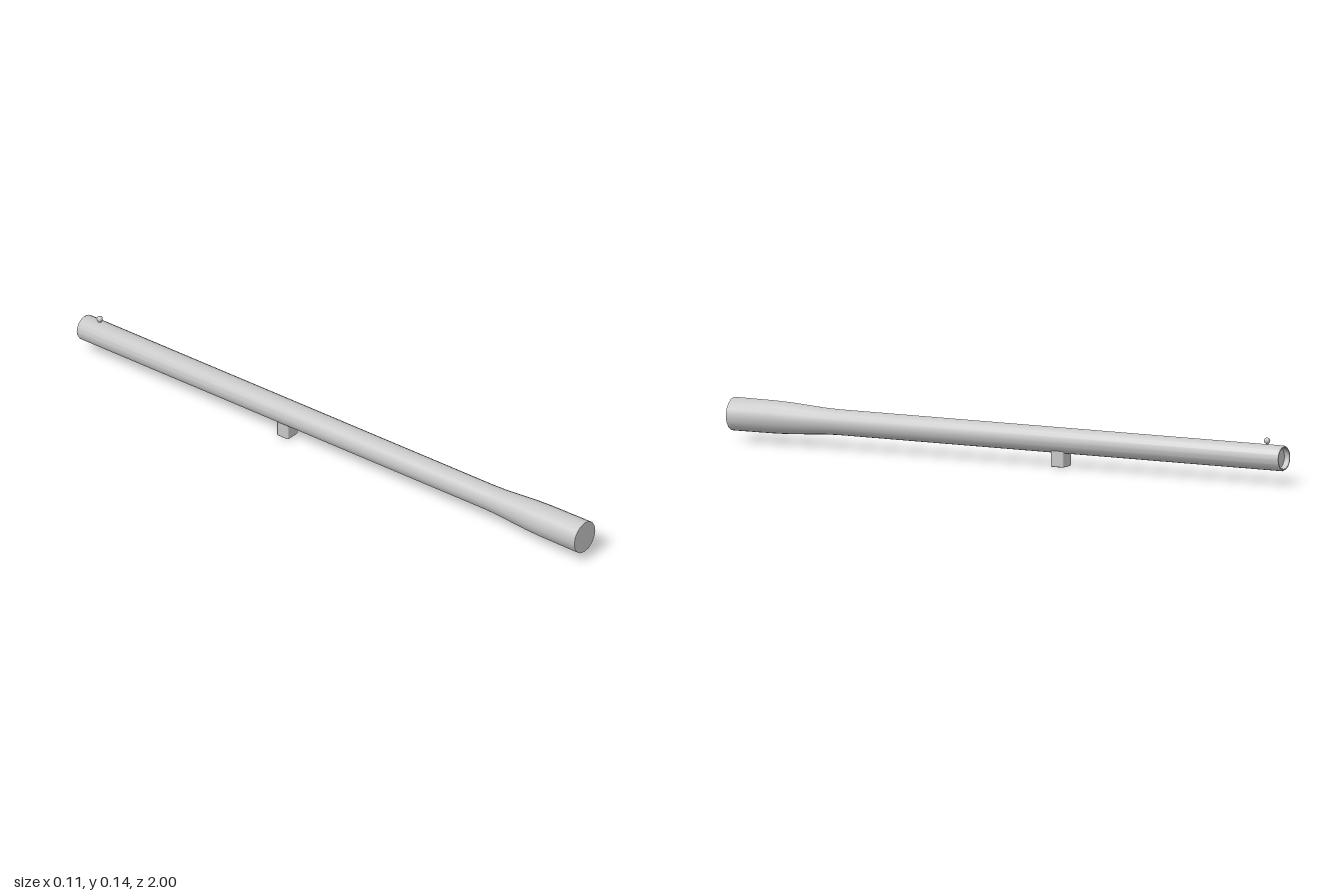
import * as THREE from 'three';
import { toCreasedNormals } from 'three/addons/utils/BufferGeometryUtils.js';
import { RoundedBoxGeometry } from 'three/addons/geometries/RoundedBoxGeometry.js';

const AXIS_Y = 0.083;

export function createModel() {
  const model = new THREE.Group();
  const steel = new THREE.MeshStandardMaterial({ name: 'light grey steel', color: 0xc7c7c7 });

  const add = (name, geometry, x, y, z) => {
    const mesh = new THREE.Mesh(geometry, steel);
    mesh.name = name;
    mesh.position.set(x, y, z);
    model.add(mesh);
  };

  // Barrel: [radius, z] from the recessed bore floor, round the muzzle, to the thick breech
  const profile = [
    [0, -0.982], [0.033, -0.982], [0.033, -0.997], [0.035, -1], [0.038, -1], [0.041, -0.994],
    [0.041, 0.62], [0.0425, 0.67], [0.0505, 0.79], [0.0525, 0.85], [0.0535, 1], [0, 1],
  ].map(([r, z]) => new THREE.Vector2(r, z));
  const barrel = new THREE.LatheGeometry(profile, 16).rotateX(Math.PI / 2);
  add('barrel', toCreasedNormals(barrel, Math.PI / 6), 0, AXIS_Y, 0);

  // Front bead sight on a short stem
  add('beadSight', new THREE.SphereGeometry(0.01, 12, 8), 0, 0.135, -0.938);
  add('beadStem', new THREE.CylinderGeometry(0.004, 0.004, 0.014, 8), 0, 0.125, -0.938);

  // Lug under the barrel, with small softened edges
  add('barrelLug', new RoundedBoxGeometry(0.051, 0.06, 0.046, 1, 0.004), 0, 0.03, -0.188);

  return model;
}
